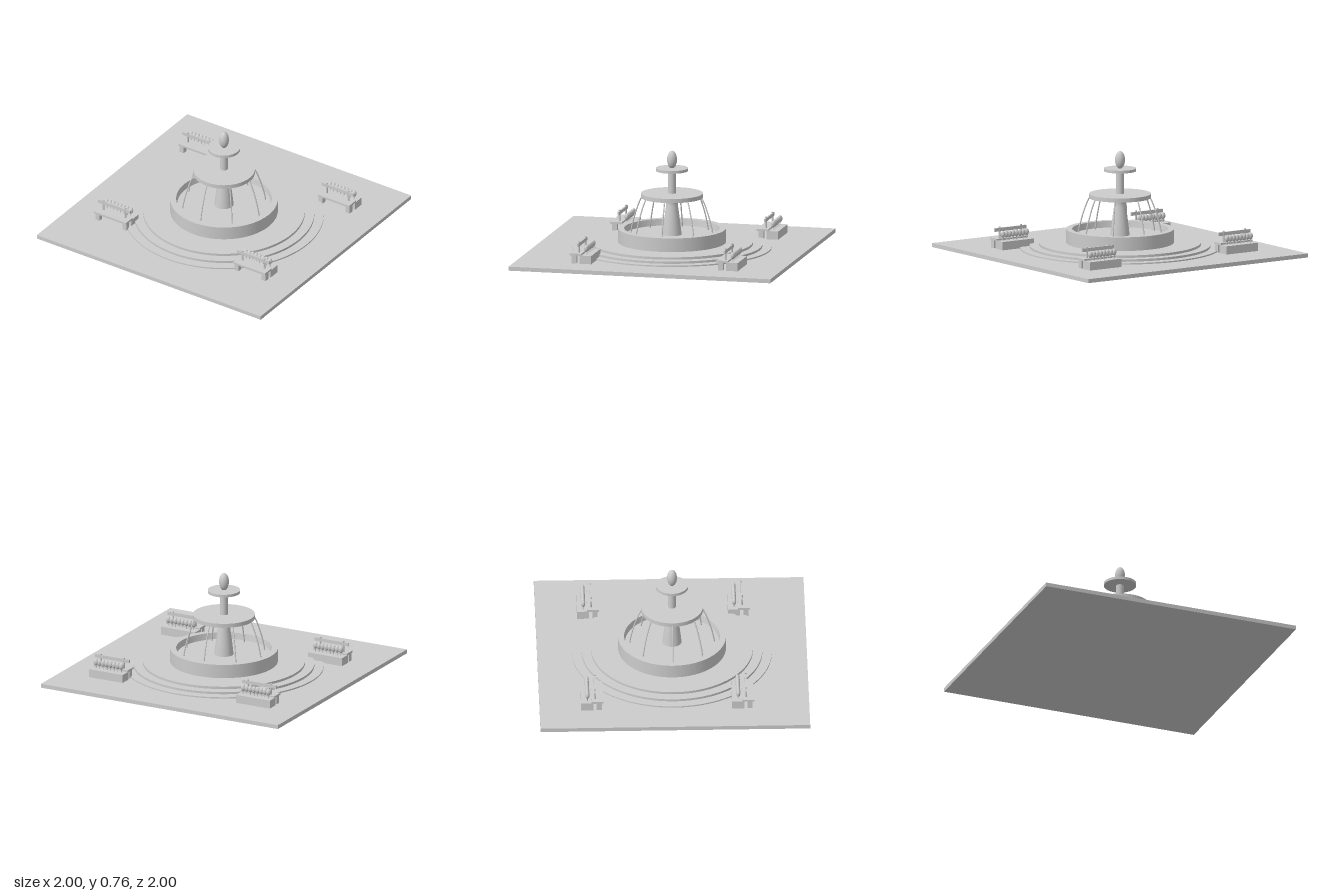
import * as THREE from 'three';

const stone = new THREE.MeshStandardMaterial({ color: 0xcccccc });
stone.name = 'stone';

function add(parent, name, geometry, x = 0, y = 0, z = 0) {
  const mesh = new THREE.Mesh(geometry, stone);
  mesh.name = name;
  mesh.position.set(x, y, z);
  parent.add(mesh);
  return mesh;
}

// Box given by its lower and upper corners
function box(parent, name, [x0, y0, z0], [x1, y1, z1]) {
  return add(parent, name, new THREE.BoxGeometry(x1 - x0, y1 - y0, z1 - z0),
    (x0 + x1) / 2, (y0 + y1) / 2, (z0 + z1) / 2);
}

// Upright disc or cylinder between two heights
function disc(parent, name, radius, y0, y1, sides = 64) {
  return add(parent, name, new THREE.CylinderGeometry(radius, radius, y1 - y0, sides), 0, (y0 + y1) / 2, 0);
}

// Lathe with each profile segment turned separately, so corners stay sharp
function sharpLathe(parent, name, profile) {
  const group = new THREE.Group();
  group.name = name;
  for (let i = 0; i < profile.length - 1; i++) {
    const pts = [profile[i], profile[i + 1]].map(([r, y]) => new THREE.Vector2(r, y));
    add(group, name + 'Wall', new THREE.LatheGeometry(pts, 64));
  }
  parent.add(group);
}

// Bench with a planter behind it; x is centred, z = 0 is the planter's back face
function createBench() {
  const bench = new THREE.Group();
  bench.name = 'benchWithPlanter';
  box(bench, 'planter', [-0.143, 0.03, 0], [0.143, 0.092, 0.09]);
  box(bench, 'seat', [-0.143, 0.09, 0.075], [0.143, 0.105, 0.164]);
  box(bench, 'backrest', [-0.143, 0.155, 0.098], [0.143, 0.181, 0.11]);
  for (const side of [-1, 1]) {
    const inner = side * 0.103, outer = side * 0.139;
    box(bench, 'leg', [Math.min(inner, outer), 0.03, 0.115], [Math.max(inner, outer), 0.09, 0.152]);
    add(bench, 'backrestPost', new THREE.CylinderGeometry(0.007, 0.007, 0.09, 12), side * 0.097, 0.145, 0.104);
  }
  // Row of small shrubs on stems
  for (let i = 0; i < 8; i++) {
    const x = -0.107 + i * 0.214 / 7;
    add(bench, 'shrubStem', new THREE.CylinderGeometry(0.003, 0.003, 0.04, 8), x, 0.11, 0.046);
    const shrub = add(bench, 'shrub', new THREE.SphereGeometry(1, 16, 12), x, 0.14, 0.046);
    shrub.scale.set(0.019, 0.026, 0.016);
  }
  return bench;
}

function createFountain() {
  const fountain = new THREE.Group();
  fountain.name = 'fountain';

  // Basin with a slightly sloping inner wall, and its water
  sharpLathe(fountain, 'basin', [[0.4, 0.07], [0.4, 0.178], [0.355, 0.178], [0.346, 0.12]]);
  disc(fountain, 'water', 0.348, 0.08, 0.13);

  // Pedestal, flared under the lower dish
  const pedestal = [[0.072, 0.12], [0.066, 0.18], [0.055, 0.27], [0.044, 0.35], [0.042, 0.38],
    [0.05, 0.395], [0.075, 0.412]].map(([r, y]) => new THREE.Vector2(r, y));
  add(fountain, 'pedestal', new THREE.LatheGeometry(pedestal, 40));
  disc(fountain, 'lowerDish', 0.23, 0.411, 0.442);
  disc(fountain, 'upperColumn', 0.029, 0.44, 0.615, 32);
  disc(fountain, 'upperDish', 0.12, 0.611, 0.632);
  add(fountain, 'finial', new THREE.SphereGeometry(1, 32, 24), 0, 0.695, 0).scale.set(0.037, 0.067, 0.037);

  // Jets falling from the lower dish into the basin
  const path = new THREE.CatmullRomCurve3([[0.222, 0.425], [0.248, 0.37], [0.27, 0.31], [0.29, 0.245],
    [0.306, 0.178], [0.315, 0.125]].map(([r, y]) => new THREE.Vector3(r, y, 0)));
  const jet = new THREE.TubeGeometry(path, 16, 0.005, 8);
  for (let i = 0; i < 8; i++) {
    add(fountain, 'waterJet', jet).rotation.y = i * Math.PI / 4;
  }
  return fountain;
}

export function createModel() {
  const model = new THREE.Group();
  model.name = 'plazaFountain';

  // Paved slab and round steps
  box(model, 'paving', [-1, 0, -1], [1, 0.03, 1]);
  disc(model, 'lowerStep', 0.74, 0.02, 0.04, 96);
  disc(model, 'middleStep', 0.67, 0.02, 0.057, 96);
  disc(model, 'upperStep', 0.6, 0.02, 0.075, 96);
  model.add(createFountain());

  // Four benches, all facing the front
  for (const x of [-0.621, 0.621]) {
    for (const z of [0.427, -0.692]) {
      const bench = createBench();
      bench.position.set(x, 0, z);
      model.add(bench);
    }
  }
  return model;
}
